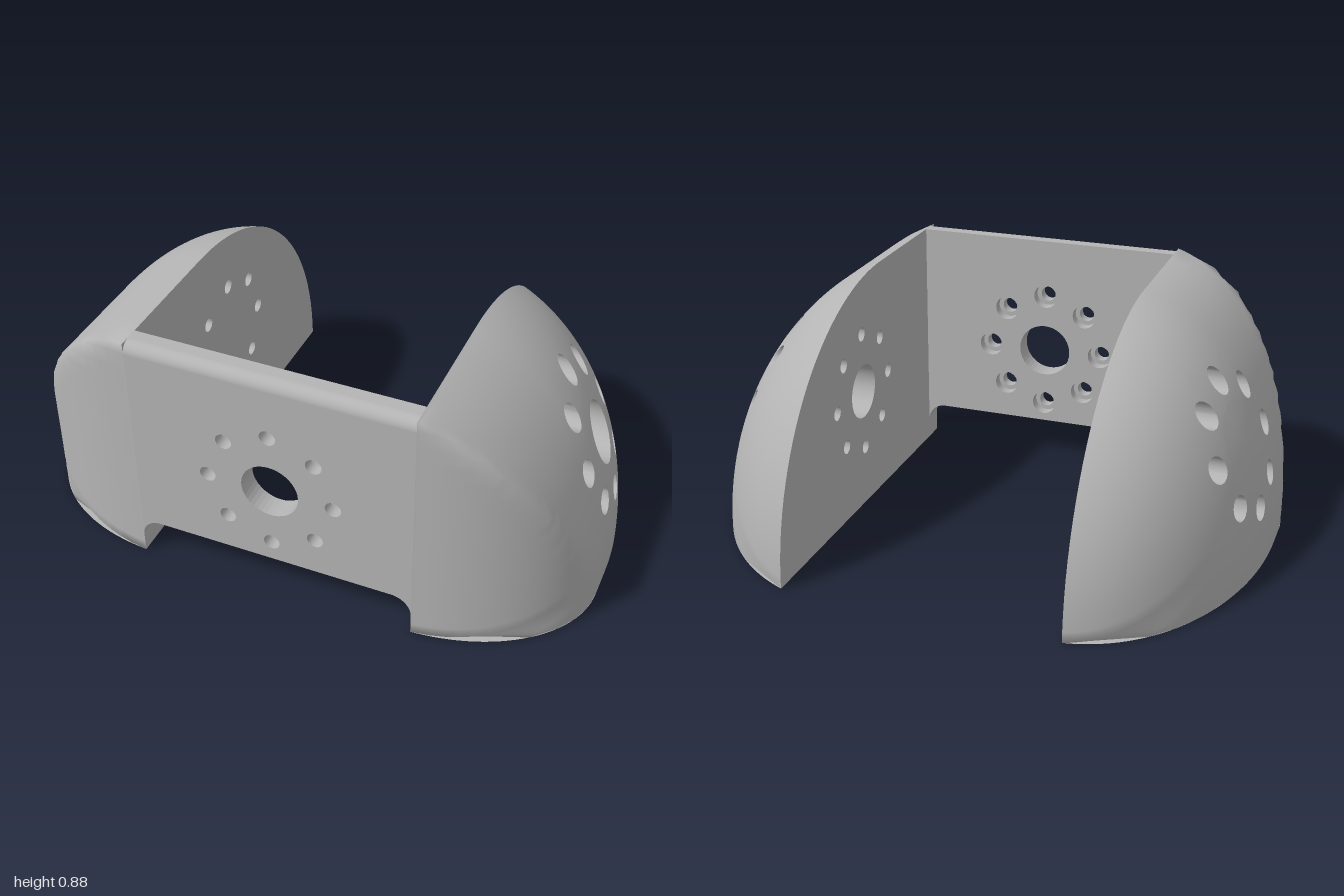
import * as THREE from 'three';
import { mergeVertices, mergeGeometries } from 'three/addons/utils/BufferGeometryUtils.js';

const IN = 0.49, HY = 0.44, RING = 0.22, BORE = 0.045, SCREW = 0.026, CENTRE = 0.1;
const FLOOR = 0.57, N = 96, TAU = Math.PI * 2;

const grey = new THREE.MeshStandardMaterial({ color: 0xb4b4b4, side: THREE.DoubleSide });
grey.name = 'grey';

// surface through rows of [x, y, z] points
function grid(rows) {
  const n = rows[0].length, index = [];
  for (let i = 0; i < rows.length - 1; i++) {
    for (let j = 0; j < n - 1; j++) {
      const a = i * n + j, b = a + n;
      index.push(a, a + 1, b, a + 1, b + 1, b);
    }
  }
  const g = new THREE.BufferGeometry();
  g.setAttribute('position', new THREE.Float32BufferAttribute(rows.flat(2), 3));
  g.setIndex(index);
  return g;
}

const steps = (n, fn) => Array.from({ length: n + 1 }, (_, i) => fn(i / n, i));
const lerp2 = (a, b, t) => [a[0] + (b[0] - a[0]) * t, a[1] + (b[1] - a[1]) * t];
const polar = (r, a, c = [0, HY]) => [c[0] + r * Math.cos(a), c[1] + r * Math.sin(a)];
const circle = (r, n, c) => steps(n, (t) => polar(r, t * TAU, c));
const holeCentres = steps(7, (t, k) => polar(RING, k * TAU / 8));

// side outline [z, y]: flat top and front, round back, sampled by rays from the hole centre
function sideOutline() {
  const pts = steps(N, (t) => {
    const c = Math.cos(t * TAU), s = Math.sin(t * TAU);
    let d = Math.min(c > 1e-6 ? 0.7 / c : 9, Math.abs(s) > 1e-6 ? HY / Math.abs(s) : 9);
    const b = -0.18 * c + HY * s, arc = -b + Math.sqrt(b * b + 0.5484);
    if (arc * c < 0.18) d = Math.min(d, arc);
    return polar(d, t * TAU);
  });
  for (const [z, y] of [[0.7, 0], [0.7, 0.88], [-0.7, 0]]) {
    const a = (Math.atan2(y - HY, z) + TAU) % TAU;
    pts[Math.round(a / TAU * N)] = [z, y];
  }
  return pts;
}

// one solid domed side, built on +x
function makeCheek(name, dome, open) {
  const group = new THREE.Group();
  group.name = name;
  const add = (part, g) => {
    g.computeVertexNormals();
    const m = new THREE.Mesh(g, grey);
    m.name = part;
    group.add(m);
  };
  // outer width at a side position: dome behind, rounded corner in front
  const width = ([z, y]) => {
    const s = y * y + Math.min(0, z - 0.18) ** 2;
    const d = dome.cx + (1 - dome.cx) * Math.max(0, 1 - s / dome.r2) ** dome.k;
    const q = Math.min(1, Math.max(0, (z - 0.3) / 0.4));
    return Math.max(IN, Math.min(d, 0.45 + 0.55 * Math.sqrt(1 - q * q)));
  };
  const onDome = (p) => [width(p), p[1], p[0]];
  const at = (x) => (p) => [x, p[1], p[0]];
  const edge = sideOutline();

  // dome skin: centre, ring of bored cells, then out to the outline
  const inner = 0.15, outer = 0.29;
  const radii = open ? [CENTRE, 0.125, inner] : [0, 0.05, CENTRE, inner];
  const patches = [grid(radii.map((r) => circle(r, N).map(onDome)))];
  const ringPts = circle(outer, N);
  patches.push(grid(steps(18, (t) =>
    ringPts.map((p, j) => onDome(lerp2(p, edge[j], Math.sin(t * Math.PI / 2)))))));
  holeCentres.forEach((c, k) => {
    const a0 = (k - 0.5) * TAU / 8, a1 = a0 + TAU / 8;
    const ang = (t) => a0 + (a1 - a0) * t, rad = (t) => outer + (inner - outer) * t;
    const cell = [
      ...steps(12, (t) => polar(outer, ang(t))).slice(0, -1),
      ...steps(4, (t) => polar(rad(t), a1)).slice(0, -1),
      ...steps(12, (t) => polar(inner, ang(1 - t))).slice(0, -1),
      ...steps(4, (t) => polar(rad(1 - t), a0)),
    ];
    const rim = cell.map((p) => polar(BORE, Math.atan2(p[1] - c[1], p[0] - c[0]), c));
    patches.push(grid(steps(4, (t) => rim.map((p, j) => onDome(lerp2(p, cell[j], t))))));
    // stepped screw hole
    const small = rim.map((p) => lerp2(c, p, SCREW / BORE));
    add('screwHole', grid([small.map(at(IN)), small.map(at(FLOOR))]));
    add('boreFloor', grid([small.map(at(FLOOR)), rim.map(at(FLOOR))]));
    add('boreWall', grid([rim.map(at(FLOOR)), rim.map(onDome)]));
  });
  add('domeSkin', mergeVertices(mergeGeometries(patches), 1e-4));

  if (open) {
    const c = circle(CENTRE, N);
    add('centreHole', grid([c.map(at(IN)), c.map(onDome)]));
  }

  // flat inner face
  const shape = new THREE.Shape(edge.slice(0, -1).map((p) => new THREE.Vector2(...p)));
  const cut = (c, r) => shape.holes.push(new THREE.Path().absarc(c[0], c[1], r, 0, TAU, true));
  holeCentres.forEach((c) => cut(c, SCREW));
  if (open) cut([0, HY], CENTRE);
  add('innerFace', new THREE.ShapeGeometry(shape, 16).rotateY(-Math.PI / 2).translate(IN, 0, 0));

  // flat underside
  const base = steps(80, (t) => [0.7 * Math.cos(t * Math.PI), 0]);
  add('underside', grid([base.map(at(IN)), base.map(onDome)]));
  return group;
}

// front plate layer with rounded cutout corners and the hole pattern
function plateLayer(top, z, depth, holeRadius) {
  const s = new THREE.Shape();
  s.moveTo(-IN, top);
  s.lineTo(-IN, 0.075);
  s.absarc(-IN + 0.07, 0.075, 0.07, Math.PI, Math.PI / 2, true);
  s.lineTo(IN - 0.07, 0.145);
  s.absarc(IN - 0.07, 0.075, 0.07, Math.PI / 2, 0, true);
  s.lineTo(IN, top);
  const cut = (c, r) => s.holes.push(new THREE.Path().absarc(c[0], c[1], r, 0, TAU, true));
  cut([0, HY], CENTRE);
  holeCentres.forEach((c) => cut(c, holeRadius));
  return new THREE.ExtrudeGeometry(s, { depth, bevelEnabled: false, curveSegments: 20 }).translate(0, 0, z);
}

export function createModel() {
  const model = new THREE.Group();
  model.name = 'bracket';

  const plate = new THREE.Group();
  plate.name = 'frontPlate';
  const layers = {
    plateFront: plateLayer(0.84, 0.66, 0.04, 0.028),
    plateBack: plateLayer(0.88, 0.62, 0.04, BORE),
    roundedTopEdge: new THREE.CylinderGeometry(0.04, 0.04, IN * 2, 12, 1, false, 0, Math.PI / 2)
      .rotateZ(Math.PI / 2).translate(0, 0.84, 0.66),
  };
  for (const [name, g] of Object.entries(layers)) {
    const m = new THREE.Mesh(g, grey);
    m.name = name;
    plate.add(m);
  }

  // the left side has an open centre hole, the right side is closed and fuller
  const left = makeCheek('leftCheek', { cx: 0.25, r2: 0.862, k: 0.5 }, true);
  const right = makeCheek('rightCheek', { cx: 0.4, r2: 0.786, k: 0.45 }, false);
  right.scale.x = -1;

  model.add(plate, left, right);
  return model;
}
